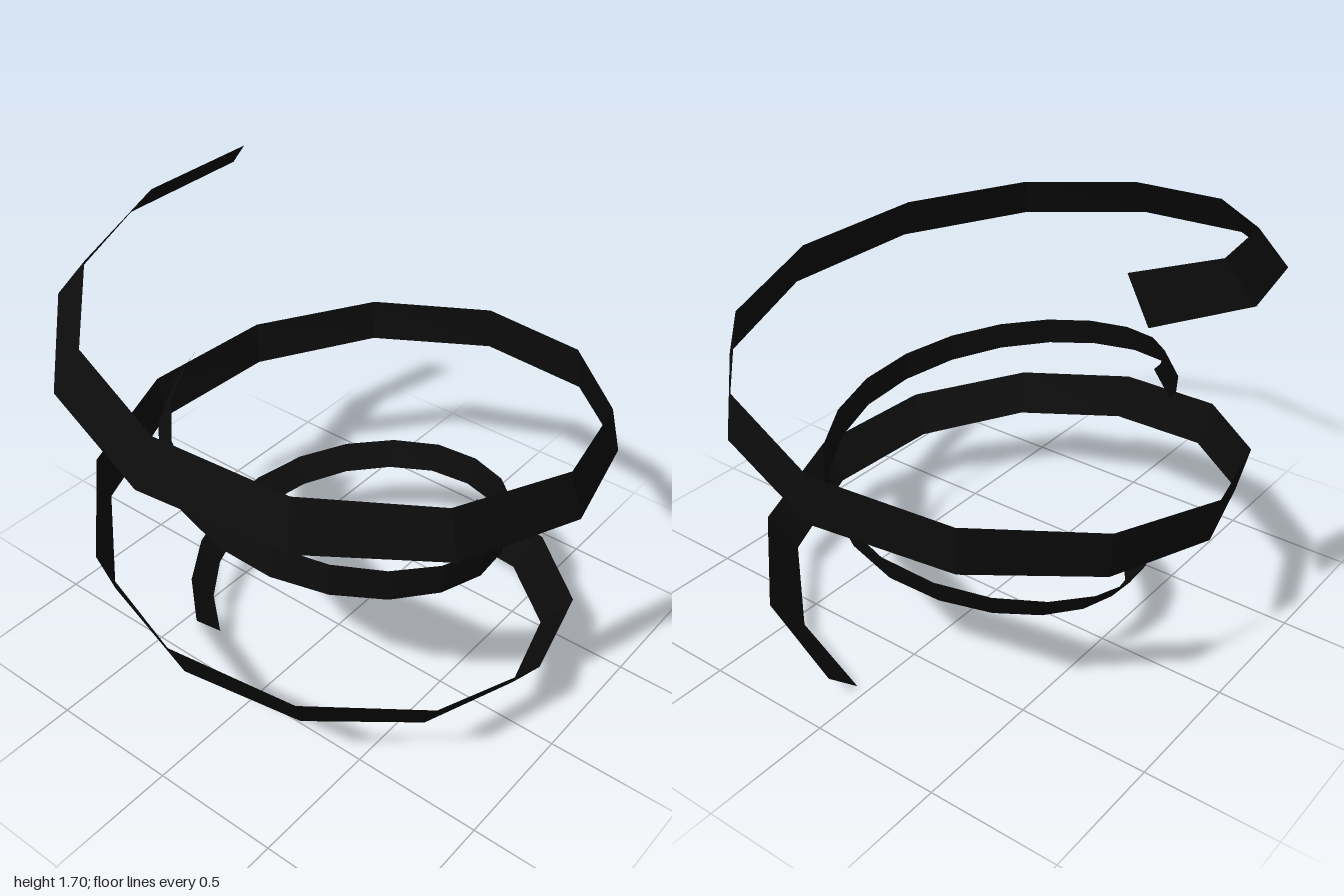
import * as THREE from 'three';

const { degToRad, lerp } = THREE.MathUtils;

// Radius at an angle, from values given every 90 degrees
function radiusAt(radii, first, deg) {
  const t = (deg - first) / 90;
  const i = Math.min(Math.floor(t), radii.length - 2);
  return lerp(radii[i], radii[i + 1], t - i);
}

// Faceted helical band whose lean changes from outward to inward as it climbs
function ribbon(name, { start, end, step, y, tilt, width, radii, first }, material) {
  const angles = [start];
  for (let a = (Math.floor(start / step) + 1) * step; a < end; a += step) angles.push(a);
  angles.push(end);

  const positions = [], index = [];
  angles.forEach((deg, i) => {
    const t = (deg - start) / (end - start);
    const a = degToRad(deg), lean = degToRad(lerp(tilt[0], tilt[1], t));
    const r = radiusAt(radii, first, deg), h = lerp(y[0], y[1], t);
    // lower edge, then upper edge
    for (const side of [-0.5, 0.5]) {
      const rr = r + side * width * Math.sin(lean);
      positions.push(rr * Math.cos(a), h + side * width * Math.cos(lean), rr * Math.sin(a));
    }
    if (i > 0) {
      const k = 2 * i;
      index.push(k - 2, k - 1, k, k, k - 1, k + 1);
    }
  });

  const geometry = new THREE.BufferGeometry();
  geometry.setAttribute('position', new THREE.Float32BufferAttribute(positions, 3));
  geometry.setIndex(index);
  geometry.computeVertexNormals();
  const mesh = new THREE.Mesh(geometry, material);
  mesh.name = name;
  return mesh;
}

export function createModel() {
  const group = new THREE.Group();
  group.name = 'spiralRibbons';
  const black = new THREE.MeshStandardMaterial({
    color: 0x0c0c0c, flatShading: true, side: THREE.DoubleSide,
  });

  // Wide outer band, twelve facets per turn
  group.add(ribbon('outerRibbon', {
    start: 3.4, end: 657, step: 30, y: [0.058, 1.64], tilt: [48, -47], width: 0.175,
    first: 0, radii: [0.825, 0.863, 0.882, 0.923, 0.976, 0.971, 0.937, 0.935, 0.93],
  }, black));

  // Narrow inner band, twenty facets per turn
  group.add(ribbon('innerRibbon', {
    start: 215, end: 619, step: 18, y: [0.128, 1.07], tilt: [49, -33], width: 0.117,
    first: 180, radii: [0.496, 0.568, 0.632, 0.643, 0.627, 0.628],
  }, black));

  return group;
}
